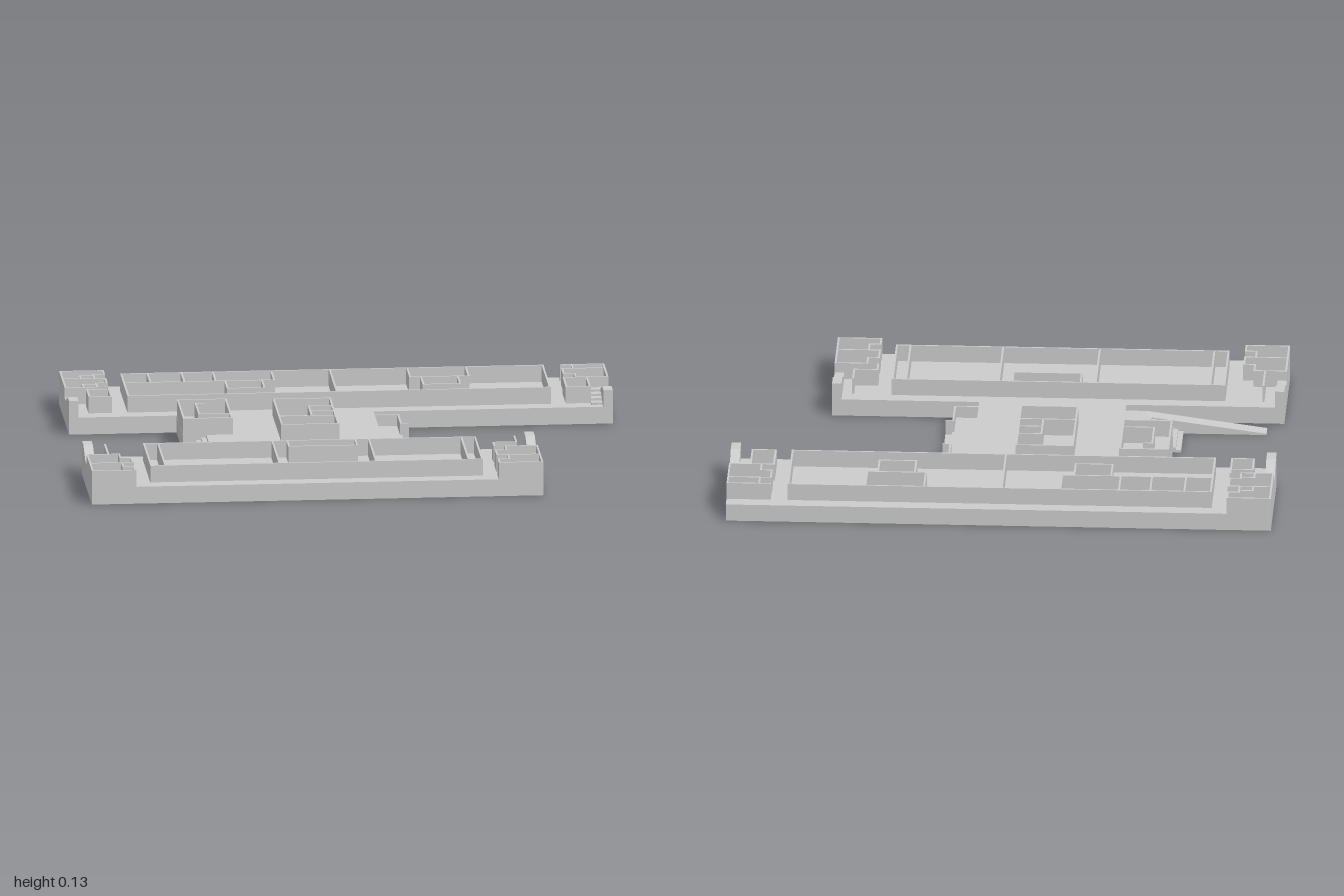
import * as THREE from 'three';

const FLOOR = 0.064, TOP = 0.127, T = 0.007;

export function createModel() {
  const model = new THREE.Group();
  const mat = new THREE.MeshStandardMaterial({ color: 0xcccccc, flatShading: true });

  function block(parent, name, x0, x1, y0, y1, z0, z1) {
    const m = new THREE.Mesh(new THREE.BoxGeometry(x1 - x0, y1 - y0, z1 - z0), mat);
    m.position.set((x0 + x1) / 2, (y0 + y1) / 2, (z0 + z1) / 2);
    m.name = name;
    parent.add(m);
  }
  function group(name) {
    const g = new THREE.Group();
    g.name = name;
    model.add(g);
    return g;
  }
  // Thin upright wall following axis-aligned points [x, z]
  function walls(parent, pts, y0 = FLOOR, y1 = TOP) {
    const h = T / 2;
    for (let i = 0; i + 1 < pts.length; i++) {
      const [a, b] = pts[i], [c, d] = pts[i + 1];
      block(parent, 'wall', Math.min(a, c) - h, Math.max(a, c) + h, y0, y1, Math.min(b, d) - h, Math.max(b, d) + h);
    }
  }
  const room = (parent, x0, x1, z0, z1) =>
    walls(parent, [[x0, z0], [x1, z0], [x1, z1], [x0, z1], [x0, z0]]);

  // Floor slabs
  const slab = group('floorSlabs');
  block(slab, 'backWingFloor', -1, 1, 0, FLOOR, -0.73, -0.29);
  block(slab, 'frontWingFloor', -1, 0.66, 0, FLOOR, 0.29, 0.73);
  block(slab, 'hallFloor', -0.42, 0.12, 0, FLOOR, -0.29, 0.29);
  block(slab, 'hallSideFloor', -0.5, -0.42, 0, FLOOR, 0, 0.235);
  block(slab, 'sideBlockFloor', -0.605, -0.42, 0, FLOOR, -0.28, 0);

  // Back wing rooms
  const back = group('backWingWalls');
  room(back, -0.777, 0.773, -0.673, -0.352);
  walls(back, [[-0.01, -0.673], [-0.01, -0.352]]);
  walls(back, [[-0.777, -0.54], [-0.225, -0.54]]);
  for (const x of [-0.68, -0.555, -0.44, -0.225]) walls(back, [[x, -0.673], [x, -0.54]]);
  room(back, 0.275, 0.49, -0.673, -0.54);
  room(back, -0.405, -0.27, -0.54, -0.43);
  room(back, 0.315, 0.45, -0.54, -0.43);

  // Front wing rooms
  const front = group('frontWingWalls');
  room(front, -0.777, 0.44, 0.345, 0.668);
  for (const x of [-0.725, -0.305, 0.05, 0.39]) walls(front, [[x, 0.345], [x, 0.668]]);
  room(front, -0.25, 0, 0.345, 0.43);

  // Small end rooms; e = outer edge, d = inward direction, s = side of z
  function endRooms(name, e, d, s, outer = 0.7265) {
    const g = group(name);
    const p = list => list.map(([u, v]) => [e + d * u, s * v]);
    const i = T / 2;
    walls(g, p([[i, 0.488], [i, outer], [0.16, outer], [0.16, 0.672], [0.12, 0.672], [0.12, 0.615]]));
    walls(g, p([[i, 0.488], [0.12, 0.488], [0.12, 0.545], [0.16, 0.545], [0.16, 0.615], [i, 0.615]]));
    return { g, p };
  }
  endRooms('frontLeftEndRooms', -1, 1, 1);
  const fr = endRooms('frontRightEndRooms', 0.66, -1, 1);
  walls(fr.g, [[0.5, 0.485], [0.5, 0.43], [0.585, 0.43], [0.585, 0.345]]);
  const bl = endRooms('backLeftEndRooms', -1, 1, -1);
  walls(bl.g, [[-0.88, -0.655], [-0.93, -0.655], [-0.93, -0.62]]);
  walls(bl.g, [[-0.88, -0.53], [-0.93, -0.53], [-0.93, -0.49]]);
  room(bl.g, -0.92, -0.84, -0.455, -0.352);
  walls(bl.g, [[-0.84, -0.49], [-0.84, -0.455]]);
  const br = endRooms('backRightEndRooms', 1, -1, -1, 0.673);
  room(br.g, 0.835, 0.92, -0.488, -0.352);
  walls(fr.g, [[0.585, 0.345], [0.585, 0.43]]);
  walls(model.getObjectByName('frontLeftEndRooms'), [[-0.92, 0.345], [-0.92, 0.485]]);

  // Sloping parapets on the wing ends: profile in (z, y), extruded along x
  function parapet(x0, s) {
    const pts = [[0.29, FLOOR], [0.49, FLOOR], [0.49, 0.09], [0.44, 0.09], [0.35, TOP], [0.29, TOP]];
    const shape = new THREE.Shape(pts.map(([z, y]) => new THREE.Vector2(-s * z, y)));
    const geo = new THREE.ExtrudeGeometry(shape, { depth: 0.035, bevelEnabled: false });
    geo.rotateY(Math.PI / 2);
    geo.translate(x0, 0, 0);
    const m = new THREE.Mesh(geo, mat);
    m.name = 'slopingParapet';
    model.add(m);
  }
  parapet(-1, 1);
  parapet(-1, -1);
  parapet(0.965, -1);
  parapet(0.625, 1);

  // Short flight beside the back right parapet
  const flight = group('shortFlight');
  for (let i = 0; i < 4; i++)
    block(flight, 'step', 0.923, 0.965, FLOOR, 0.072 + i * 0.009, -0.44, -0.32 - i * 0.03);

  // Core in the middle of the hall
  const core = group('hallCore');
  room(core, -0.25, -0.043, -0.26, 0.112);
  walls(core, [[-0.25, -0.01], [-0.043, -0.01]]);
  room(core, -0.13, -0.043, -0.15, -0.01);
  walls(core, [[-0.13, -0.08], [-0.043, -0.08]]);

  // Side block with an inner partition
  const side = group('sideBlockWalls');
  room(side, -0.601, -0.425, -0.277, -0.004);
  walls(side, [[-0.51, -0.22], [-0.54, -0.22], [-0.54, -0.07], [-0.425, -0.07]]);

  // Side steps down to the ground
  const stairs = group('sideSteps');
  const N = 7;
  for (let i = 0; i < N; i++)
    block(stairs, 'step', -0.635 + i * 0.135 / N, -0.5, 0, FLOOR * (i + 1) / N, 0, 0.18);

  // Long ramp beside the steps
  const rampShape = new THREE.Shape([[-0.94, 0], [-0.42, 0], [-0.42, FLOOR], [-0.5, FLOOR], [-0.94, 0.005]]
    .map(([x, y]) => new THREE.Vector2(x, y)));
  const rampGeo = new THREE.ExtrudeGeometry(rampShape, { depth: 0.055, bevelEnabled: false });
  rampGeo.translate(0, 0, 0.18);
  const ramp = new THREE.Mesh(rampGeo, mat);
  ramp.name = 'ramp';
  model.add(ramp);

  // Entrance terrace with low parapets and a doorstep
  const terrace = group('entranceTerrace');
  block(terrace, 'terraceFloor', 0.12, 0.21, 0, 0.02, -0.25, 0.25);
  block(terrace, 'doorstep', 0.21, 0.235, 0, 0.01, -0.11, 0.11);
  for (const s of [-1, 1])
    walls(terrace, [[0.12, s * 0.246], [0.206, s * 0.246], [0.206, s * 0.11], [0.231, s * 0.11]], 0, FLOOR);

  return model;
}
